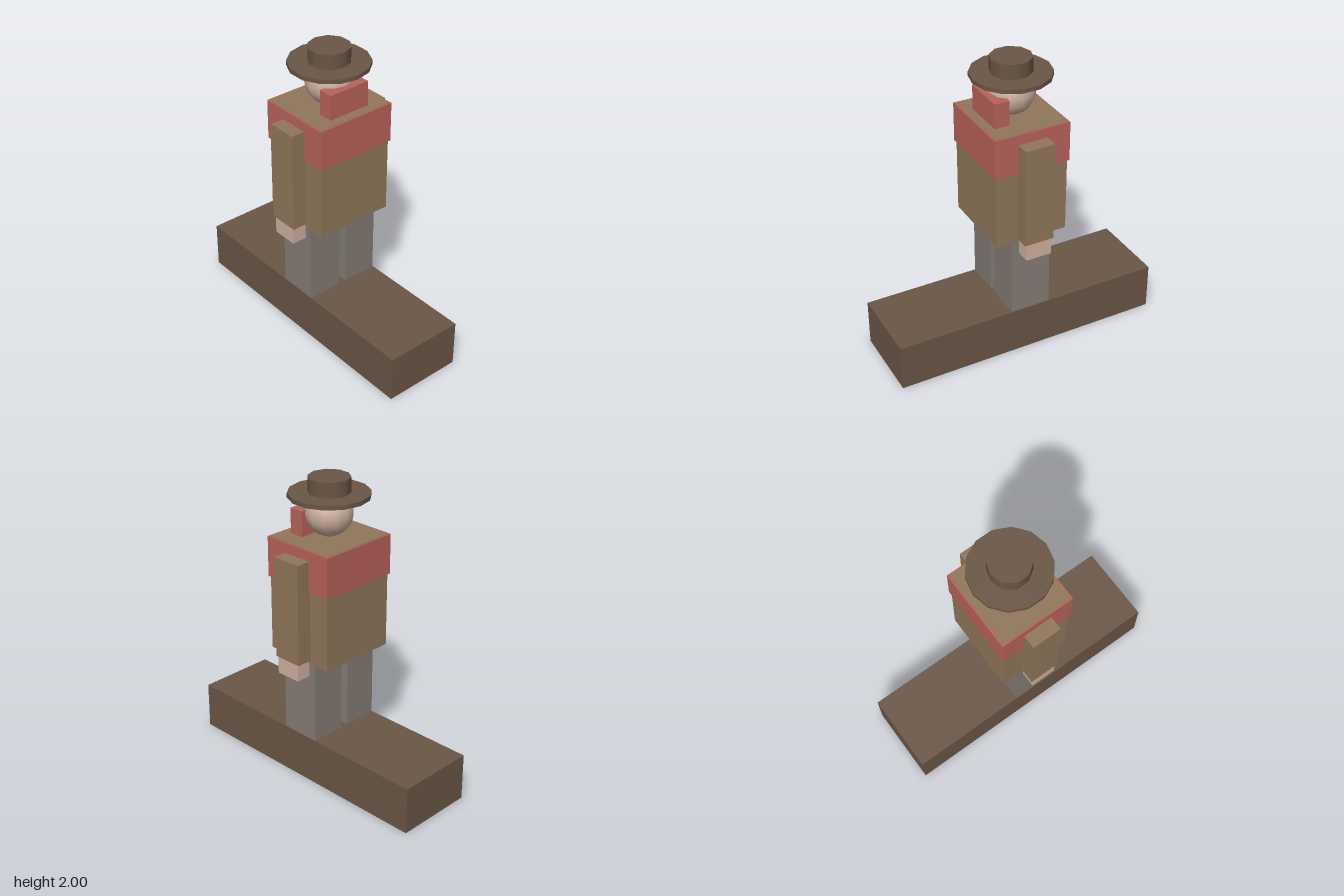
import * as THREE from 'three';

const mat = (name, color) => {
  const m = new THREE.MeshStandardMaterial({ color });
  m.name = name;
  return m;
};

export function createModel() {
  const darkBrown = mat('dark brown', 0x6a5645);
  const coatBrown = mat('coat brown', 0x8f775a);
  const red = mat('faded red', 0xb8625a);
  const grey = mat('trouser grey', 0x857b74);
  const skin = mat('skin', 0xcdb19f);

  const model = new THREE.Group();
  model.name = 'standingFigure';

  const add = (name, geometry, material) => {
    const mesh = new THREE.Mesh(geometry, material);
    mesh.name = name;
    model.add(mesh);
    return mesh;
  };
  // Box from its limits on each axis
  const box = (name, material, [x0, x1], [y0, y1], [z0, z1]) =>
    add(name, new THREE.BoxGeometry(x1 - x0, y1 - y0, z1 - z0), material)
      .position.set((x0 + x1) / 2, (y0 + y1) / 2, (z0 + z1) / 2);
  // Upright cylinder with a corner pointing along x
  const drum = (name, radius, y0, y1, sides) => {
    const mesh = add(name, new THREE.CylinderGeometry(radius, radius, y1 - y0, sides), darkBrown);
    mesh.position.y = (y0 + y1) / 2;
    mesh.rotation.y = Math.PI / 2;
  };

  // Plinth
  box('base', darkBrown, [-0.92, 0.92], [0, 0.317], [-0.268, 0.268]);

  // Body: the coat top shows inside the shoulder wrap
  box('coat', coatBrown, [-0.245, 0.245], [0.86, 1.622], [-0.268, 0.268]);
  box('shoulderWrap', red, [-0.256, 0.256], [1.355, 1.62], [-0.278, 0.278]);

  // Legs, arms and hands, mirrored across z
  for (const [side, s] of [['Front', 1], ['Back', -1]]) {
    const span = (a, b) => (s > 0 ? [a, b] : [-b, -a]);
    box('leg' + side, grey, [-0.135, 0.135], [0.317, 0.861], span(0.028, 0.265));
    box('arm' + side, coatBrown, [-0.1, 0.1], [0.885, 1.555], span(0.26, 0.37));
    box('hand' + side, skin, [-0.087, 0.087], [0.77, 0.886], span(0.265, 0.365));
  }

  // Head with a neckerchief before the face
  add('head', new THREE.SphereGeometry(0.152, 12, 10), skin).position.y = 1.773;
  box('neckerchief', red, [0.09, 0.188], [1.615, 1.787], [-0.146, 0.146]);

  // Hat
  drum('hatBrim', 0.258, 1.874, 1.902, 14);
  drum('hatCrown', 0.134, 1.9, 2, 10);

  return model;
}
